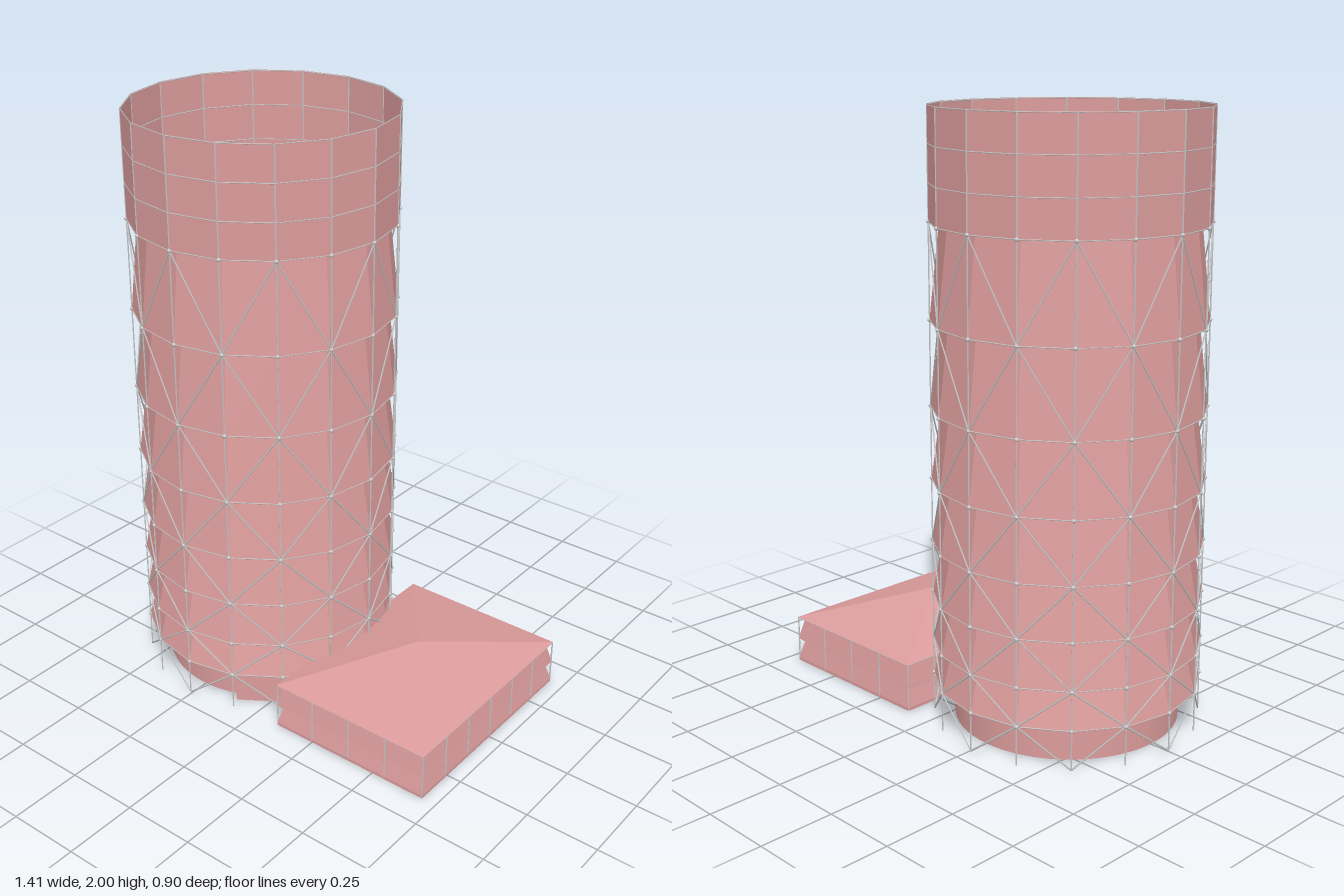
import * as THREE from 'three';
import { mergeGeometries } from 'three/addons/utils/BufferGeometryUtils.js';

const SIDES = 16, R = 0.443, R_IN = 0.41, CX = -0.255;
const LEVELS = [0, 0.13, 0.26, 0.42, 0.6, 0.81, 1.05, 1.33, 1.64];
const BAND_LEVELS = [1.76, 1.88, 1.997];

const panelMat = new THREE.MeshStandardMaterial({ color: 0xdc9c9c, flatShading: true, side: THREE.DoubleSide });
const smoothMat = new THREE.MeshStandardMaterial({ color: 0xdc9c9c });
const steelMat = new THREE.MeshStandardMaterial({ color: 0xcccccc });

function add(parent, name, geo, mat) {
  const mesh = new THREE.Mesh(geo, mat);
  mesh.name = name;
  parent.add(mesh);
  return mesh;
}

// thin bar between two points
function bar(a, b, r = 0.003) {
  const dir = b.clone().sub(a);
  const geo = new THREE.CylinderGeometry(r, r, dir.length(), 4, 1);
  const q = new THREE.Quaternion().setFromUnitVectors(new THREE.Vector3(0, 1, 0), dir.normalize());
  return geo.applyQuaternion(q).translate((a.x + b.x) / 2, (a.y + b.y) / 2, (a.z + b.z) / 2);
}

function corner(k, y) {
  const t = (k / SIDES) * Math.PI * 2;
  return new THREE.Vector3(Math.sin(t) * R, y, Math.cos(t) * R);
}

function createTower() {
  const tower = new THREE.Group();
  tower.name = 'tower';
  tower.position.x = CX;

  // round inner core
  add(tower, 'core', new THREE.CylinderGeometry(0.373, 0.373, 1.62, 64).translate(0, 0.81, 0), smoothMat);

  // flared cladding, one skirt per storey
  for (let i = 1; i < LEVELS.length - 1; i++) {
    const h = LEVELS[i + 1] - LEVELS[i];
    const geo = new THREE.CylinderGeometry(R_IN, R, h, SIDES, 1, true);
    add(tower, 'claddingSkirt', geo.translate(0, LEVELS[i] + h / 2, 0), panelMat);
  }

  // open crown band
  add(tower, 'crownBand', new THREE.CylinderGeometry(R, R, 0.36, SIDES, 1, true).translate(0, 1.82, 0), panelMat);

  // doorway between two posts
  const door = add(tower, 'doorway', new THREE.BoxGeometry(0.16, 0.12, 0.035), panelMat);
  const angle = Math.PI * 2 * 1.5 / SIDES;
  door.position.set(Math.sin(angle) * 0.382, 0.06, Math.cos(angle) * 0.382);
  door.rotation.y = angle;

  // posts, rings, diagonals and joints
  const posts = [], rings = [], braces = [], joints = [];
  for (let k = 0; k < SIDES; k++) {
    posts.push(bar(corner(k, 0), corner(k, 1.998)));
    for (const y of [...LEVELS.slice(1), ...BAND_LEVELS]) {
      rings.push(bar(corner(k, y), corner(k + 1, y), 0.002));
    }
    for (let i = 0; i < LEVELS.length - 1; i++) {
      const up = (k + i) % 2;
      braces.push(bar(corner(k + up, LEVELS[i]), corner(k + 1 - up, LEVELS[i + 1])));
    }
    for (const y of LEVELS.slice(1)) {
      const p = corner(k, y);
      joints.push(new THREE.SphereGeometry(0.007, 8, 6).translate(p.x, p.y, p.z));
    }
  }
  add(tower, 'posts', mergeGeometries(posts), steelMat);
  add(tower, 'ringBars', mergeGeometries(rings), steelMat);
  add(tower, 'diagonalBraces', mergeGeometries(braces), steelMat);
  add(tower, 'joints', mergeGeometries(joints), steelMat);
  return tower;
}

// four-sided frustum with rectangular plan
function rectFrustum(w0, d0, w1, d1, y0, y1, open) {
  const s = Math.SQRT1_2;
  const geo = new THREE.CylinderGeometry(s, s, 1, 4, 1, open).rotateY(Math.PI / 4);
  const p = geo.attributes.position;
  for (let i = 0; i < p.count; i++) {
    const top = p.getY(i) > 0;
    p.setXYZ(i, p.getX(i) * (top ? w1 : w0), top ? y1 : y0, p.getZ(i) * (top ? d1 : d0));
  }
  geo.computeVertexNormals();
  return geo;
}

function createPavilion() {
  const pavilion = new THREE.Group();
  pavilion.name = 'pavilion';
  pavilion.position.x = 0.4;
  const W = 0.6, D = 0.79, EAVE = 0.165;

  add(pavilion, 'floorSlab', new THREE.BoxGeometry(W, 0.01, D).translate(0, 0.005, 0), panelMat);
  // two flared wall storeys
  for (const [y0, y1] of [[0.01, 0.083], [0.083, EAVE]]) {
    add(pavilion, 'wallSkirt', rectFrustum(W, D, W - 0.04, D - 0.04, y0, y1, true), panelMat);
  }
  // pyramid roof
  add(pavilion, 'roof', rectFrustum(W, D, 0.001, 0.001, EAVE, 0.255, false), panelMat);

  // mullions and rails
  const frame = [];
  const v = (x, y, z) => new THREE.Vector3(x, y, z);
  const x = W / 2 - 0.002, z = D / 2 - 0.002;
  for (const s of [-1, 1]) {
    for (let i = 0; i <= 4; i++) {
      const px = -x + (2 * x * i) / 4;
      frame.push(bar(v(px, 0, s * z), v(px, EAVE, s * z)));
    }
    for (let i = 1; i < 6; i++) {
      const pz = -z + (2 * z * i) / 6;
      frame.push(bar(v(s * x, 0, pz), v(s * x, EAVE, pz)));
    }
    for (const y of [0.01, 0.083, EAVE - 0.002]) {
      frame.push(bar(v(-x, y, s * z), v(x, y, s * z), 0.002));
      frame.push(bar(v(s * x, y, -z), v(s * x, y, z), 0.002));
    }
  }
  add(pavilion, 'wallFrame', mergeGeometries(frame), steelMat);
  return pavilion;
}

export function createModel() {
  const model = new THREE.Group();
  model.name = 'roundTowerWithPavilion';
  model.add(createTower(), createPavilion());
  return model;
}
